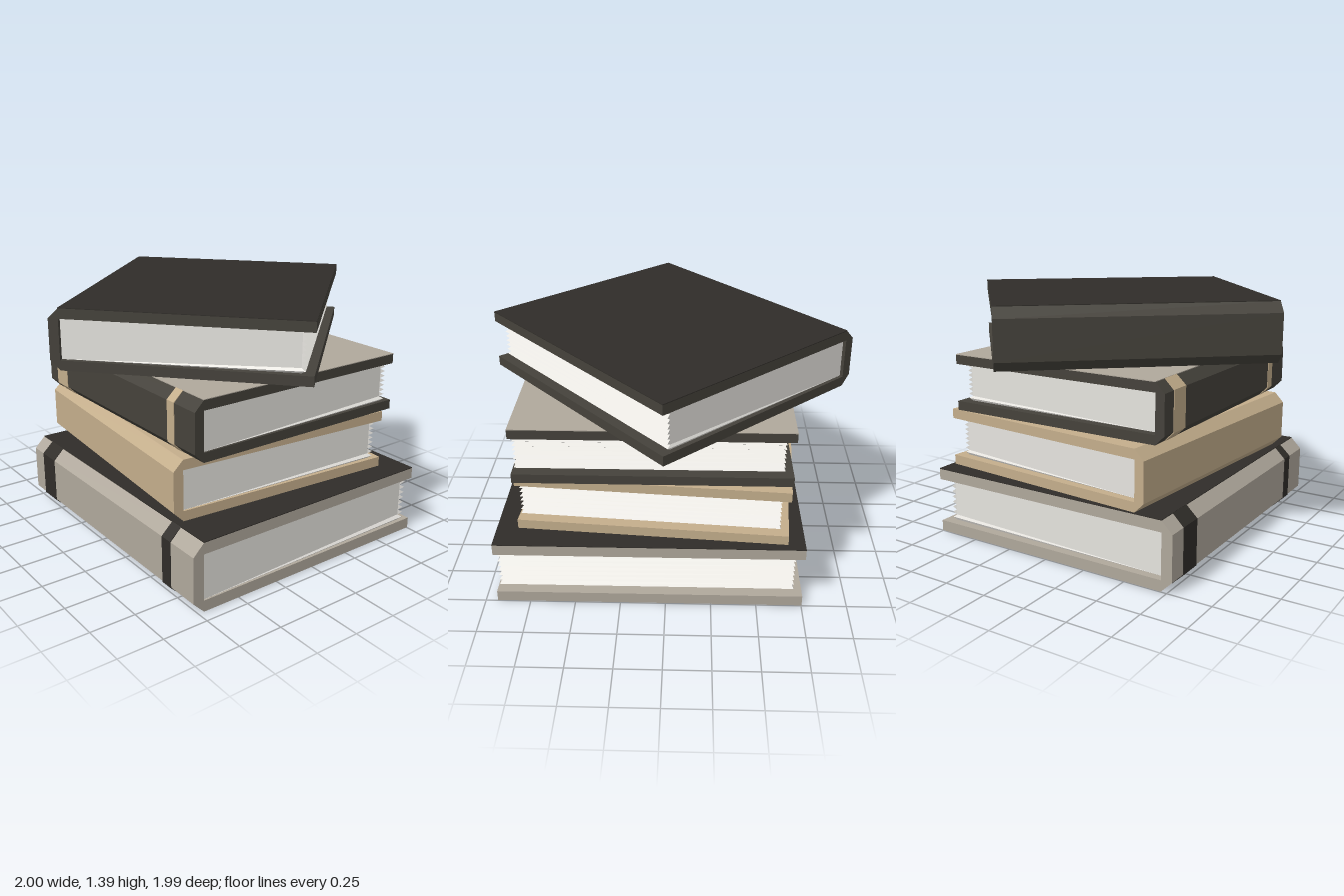
import * as THREE from 'three';

const mat = (color) => new THREE.MeshStandardMaterial({ color, roughness: 0.9, flatShading: true });
const GREY = mat(0xb0a89c), TAN = mat(0xc4ae8c), DARK = mat(0x45423b), BLACK = mat(0x302d29), PAPER = mat(0xe6e4df);

// Polygon in the x/y plane extruded along z from z0 to z1
function prism(points, z0, z1) {
  const shape = new THREE.Shape(points.map(([x, y]) => new THREE.Vector2(x, y)));
  return new THREE.ExtrudeGeometry(shape, { depth: z1 - z0, bevelEnabled: false }).translate(0, 0, z0);
}

function add(group, name, geometry, material) {
  const mesh = new THREE.Mesh(geometry, material);
  mesh.name = name;
  group.add(mesh);
}

// Book with its spine at -x, its bottom at y = 0 and centred on x and z
function book({ name, w, h, d, t, cover, panel, bands = [], bandColor, frontInset, backInset }) {
  const g = new THREE.Group();
  g.name = name;
  const L = -w / 2, R = w / 2, c = t;

  // C-shaped hard cover with chamfered spine edges
  add(g, 'cover', prism([
    [L + c, 0], [R, 0], [R, t], [L + t, t], [L + t, h - t], [R, h - t],
    [R, h], [L + c, h], [L, h - c], [L, c],
  ], -d / 2, d / 2), cover);

  // Thin coloured sheet on the front board
  if (panel) {
    const sheet = new THREE.BoxGeometry(w - c, 0.004, d);
    add(g, 'coverPanel', sheet.translate(c / 2, h + 0.002, 0), panel);
  }

  // Raised bands wrapping the spine and its chamfers
  const e = 0.003;
  for (const [z0, z1] of bands) {
    add(g, 'spineBand', prism([
      [L + c, -e], [L + c, h + e], [L - e, h - c + e], [L - e, c - e],
    ].reverse(), z0, z1).clone(), bandColor);
  }

  // Page block with a zigzag fore-edge
  const ridges = 8, tip = R - 0.045, valley = tip - 0.022;
  const points = [[L + t - 0.003, t]];
  for (let i = 0; i <= ridges * 2; i++) {
    points.push([i % 2 ? tip : valley, t + (h - 2 * t) * i / (ridges * 2)]);
  }
  points.push([L + t - 0.003, h - t]);
  const z0 = -d / 2 + backInset, z1 = d / 2 - frontInset;
  const pages = prism(points, z0, z1);
  const p = pages.attributes.position;
  // Pull the valleys in a little at both ends of the block
  for (let i = 0; i < p.count; i++) {
    if (Math.abs(p.getX(i) - valley) < 0.001) {
      p.setZ(i, p.getZ(i) + (p.getZ(i) > 0 ? -0.014 : 0.008));
    }
  }
  pages.computeVertexNormals();
  add(g, 'pages', pages, PAPER);
  return g;
}

export function createModel() {
  const model = new THREE.Group();
  model.name = 'bookStack';

  const place = (b, x, y, z, turn = 0, tilt = 0) => {
    b.position.set(x, y, z);
    b.rotation.set(tilt, turn, 0);
    model.add(b);
  };

  place(book({
    name: 'bottomBook', w: 1.53, h: 0.377, d: 1.685, t: 0.062, cover: GREY, panel: BLACK,
    bands: [[-0.73, -0.59], [0.575, 0.65]].map(([a, b]) => [a, b]), bandColor: BLACK,
    frontInset: 0.01, backInset: 0.045,
  }), -0.015, 0, 0.09);

  place(book({
    name: 'secondBook', w: 1.34, h: 0.33, d: 1.475, t: 0.055, cover: TAN,
    frontInset: 0.012, backInset: 0.045,
  }), -0.01, 0.388, 0.025, -0.0785);

  place(book({
    name: 'thirdBook', w: 1.34, h: 0.317, d: 1.48, t: 0.052, cover: DARK, panel: GREY,
    bands: [[-0.65, -0.53], [0.51, 0.57]], bandColor: TAN,
    frontInset: 0.01, backInset: 0.045,
  }), -0.01, 0.722, 0.07);

  place(book({
    name: 'topBook', w: 1.345, h: 0.325, d: 1.48, t: 0.054, cover: DARK, panel: BLACK,
    frontInset: 0.025, backInset: 0.02,
  }), 0, 1.05, -0.005, -0.838, 0.004);

  return model;
}
